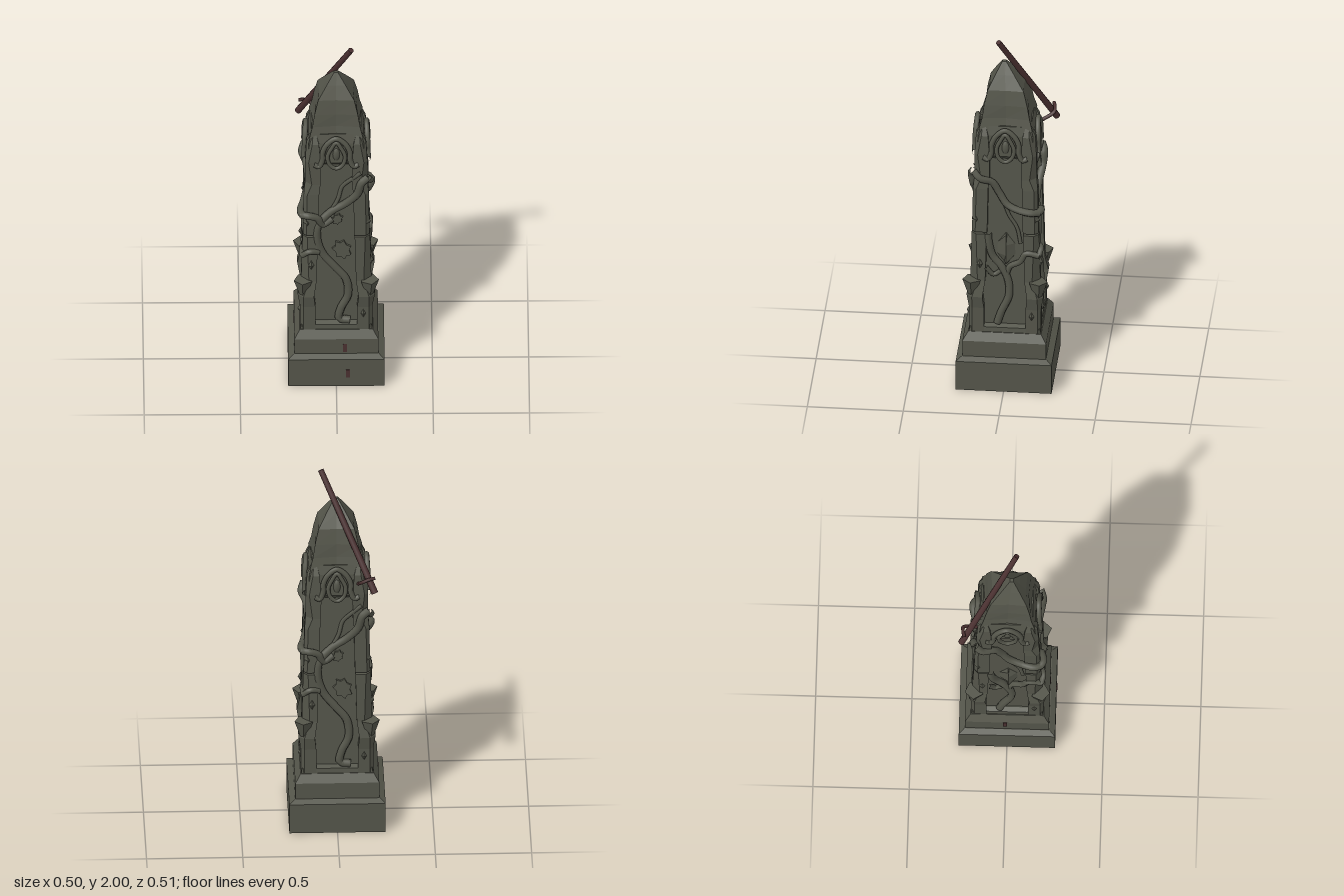
import * as THREE from 'three';

const stone = new THREE.MeshStandardMaterial({ color: 0x54554a });
stone.name = 'mossy grey stone';
const wood = new THREE.MeshStandardMaterial({ color: 0x4a3030 });
wood.name = 'dark red brown';

const V = (x, y, z) => new THREE.Vector3(x, y, z);

function add(parent, name, geometry, material = stone) {
  const mesh = new THREE.Mesh(geometry, material);
  mesh.name = name;
  parent.add(mesh);
  return mesh;
}

// Flat-faced solid through rings of points, listed bottom to top
function loft(rings) {
  const pos = [];
  const tri = (...p) => p.forEach((v) => pos.push(v.x, v.y, v.z));
  const n = rings[0].length;
  const centre = (r) => r.reduce((s, p) => s.add(p), V(0, 0, 0)).divideScalar(n);
  const low = rings[0], high = rings[rings.length - 1];
  for (let i = 0; i < n; i++) {
    const j = (i + 1) % n;
    for (let k = 0; k < rings.length - 1; k++) {
      const a = rings[k], b = rings[k + 1];
      tri(a[i], a[j], b[j]);
      tri(a[i], b[j], b[i]);
    }
    tri(centre(low), low[j], low[i]);
    tri(centre(high), high[i], high[j]);
  }
  const g = new THREE.BufferGeometry();
  g.setAttribute('position', new THREE.Float32BufferAttribute(pos, 3));
  g.computeVertexNormals();
  return g;
}

// Square ring; mid below 1 pulls the middle of each side inwards
const square = (y, h, mid = 1, dz = 0) => {
  const m = h * mid;
  return [[-h, h], [0, m], [h, h], [m, 0], [h, -h], [0, -m], [-h, -h], [-m, 0]]
    .map(([x, z]) => V(x, y, z + dz));
};

// Pillar half width at a height, measured to the faces of the corner posts
const half = (y) => 0.188 - 0.03 * (y - 0.32) / 1.18;

// Cross-section of one corner post
const postRing = (y, grow = 0, w = 0.08, c = 0.018) => {
  const h = half(y) + grow;
  return [[h - w, h], [h - c, h], [h, h - c], [h, h - w], [h - w, h - w]]
    .map(([x, z]) => V(x, y, z));
};

// Point on a face: u across, y up, lift measured from the post surface
const onFace = ([u, y, lift = -0.02]) => V(u, y, half(y) + lift);

function tube(points, radius, closed = false, sides = 8) {
  const curve = new THREE.CatmullRomCurve3(points, closed);
  return new THREE.TubeGeometry(curve, points.length * 5, radius, sides, closed);
}

function vine(parent, points, radius) {
  add(parent, 'vine', tube(points.map(onFace), radius));
}

function leaf(parent, u, y, size, turn) {
  const s = new THREE.Shape();
  for (let i = 0; i < 14; i++) {
    const a = (i / 14) * Math.PI * 2;
    const r = size * (i % 2 ? 0.72 : 1);
    s[i ? 'lineTo' : 'moveTo'](Math.cos(a) * r * 0.8, Math.sin(a) * r);
  }
  const g = new THREE.ExtrudeGeometry(s, { depth: 0.02, bevelEnabled: false });
  const m = add(parent, 'leaf', g);
  m.position.copy(onFace([u, y, -0.04]));
  m.rotation.set(-0.03, 0, turn);
}

// Pointed hood and teardrop niche, shared by all four faces
function niche(face) {
  const hood = [[-0.115, 1.35, 0], [-0.09, 1.34, 0.004], [-0.072, 1.38, 0.004],
    [-0.07, 1.43, 0.004], [-0.045, 1.48, 0.002], [0, 1.51, 0]];
  const mirrored = hood.slice(0, -1).reverse().map(([u, y, d]) => [-u, y, d]);
  add(face, 'nicheHood', tube([...hood, ...mirrored].map(onFace), 0.014));
  const drop = [[0, 1.325, 0], [0.035, 1.35, 0], [0.045, 1.4, 0],
    [0.025, 1.45, 0], [0, 1.485, 0], [-0.025, 1.45, 0], [-0.045, 1.4, 0], [-0.035, 1.35, 0]];
  add(face, 'nicheRing', tube(drop.map(onFace), 0.011, true));
  const bud = add(face, 'nicheBud', new THREE.SphereGeometry(1, 10, 8));
  bud.scale.set(0.022, 0.045, 0.02);
  bud.position.copy(onFace([0, 1.4, -0.025]));
}

// Face with one long winding vine
function windingFace(face) {
  vine(face, [[0.07, 0.365], [0.015, 0.375], [0.025, 0.44], [0.06, 0.52], [0.05, 0.62],
    [-0.01, 0.7], [-0.07, 0.78], [-0.1, 0.88, -0.012], [-0.09, 0.97, -0.01], [-0.03, 1.04],
    [0.05, 1.1, -0.012], [0.11, 1.17, 0.005], [0.13, 1.24, 0.012], [0.165, 1.265, -0.002]], 0.021);
  vine(face, [[-0.18, 1.035, 0.002], [-0.15, 1.04, 0.017], [-0.1, 1.02, 0.008],
    [-0.07, 0.97, -0.01], [-0.02, 1.0]], 0.019);
  vine(face, [[-0.03, 1.04], [0.01, 1.12, -0.025], [0.03, 1.19, -0.03], [0.08, 1.25, -0.012],
    [0.13, 1.3, 0.002]], 0.011);
  vine(face, [[-0.18, 0.78, 0], [-0.14, 0.81, 0.01], [-0.09, 0.8, -0.005]], 0.015);
  leaf(face, 0.03, 0.8, 0.062, 0.4);
  leaf(face, 0.005, 0.99, 0.036, -0.5);
}

// Face with a forked vine around a bud and a second vine sweeping across
function forkedFace(face) {
  vine(face, [[-0.04, 0.365], [-0.02, 0.43], [0.02, 0.53], [0.015, 0.62], [-0.02, 0.7],
    [-0.065, 0.76], [-0.085, 0.84, -0.012], [-0.09, 0.9, -0.01]], 0.02);
  vine(face, [[0.005, 0.65], [0.025, 0.7], [0.08, 0.74, -0.005], [0.11, 0.79, 0],
    [0.18, 0.78, 0]], 0.016);
  vine(face, [[-0.015, 0.68], [-0.06, 0.65], [-0.1, 0.7, -0.005]], 0.013);
  vine(face, [[-0.165, 1.265, -0.002], [-0.13, 1.23, 0.012], [-0.07, 1.2, -0.01], [-0.03, 1.13],
    [0.01, 1.07, -0.012], [0.07, 1.045, 0.002], [0.14, 1.04, 0.017], [0.18, 1.035, 0.002]], 0.019);
  vine(face, [[-0.02, 1.12], [0.02, 1.0, -0.025], [0.06, 0.93, -0.025], [0.08, 0.84, -0.02]], 0.01);
  const bud = add(face, 'budLeaf', loft([[0.72, 0.012], [0.77, 0.05], [0.83, 0.048], [0.89, 0.004]]
    .map(([y, r]) => [[-r, 0], [0, 0.03], [r, 0], [0, -0.012]]
      .map(([u, d]) => onFace([u, y, -0.035 + d])))));
  bud.position.x = 0.005;
}

function buildCorner(corner) {
  // Weathered post in stacked stones with a crack between them
  add(corner, 'lowerPost', loft([postRing(0.31, 0), postRing(0.46, 0.004), postRing(0.53, 0.018, 0.085, 0.03),
    postRing(0.62, 0.002, 0.08, 0.04), postRing(0.895, 0.002, 0.08, 0.025)]));
  add(corner, 'upperPost', loft([postRing(0.905, 0), postRing(1.16, 0.002),
    postRing(1.22, -0.003, 0.08, 0.035), postRing(1.36, 0), postRing(1.47, -0.004, 0.065, 0.03),
    postRing(1.515, -0.025, 0.03, 0.012)]));
  // Broken stone wedge near the foot
  const wedge = add(corner, 'stoneWedge', new THREE.ConeGeometry(0.05, 0.15, 5).toNonIndexed());
  wedge.geometry.computeVertexNormals();
  wedge.position.set(0.172, 0.55, 0.172);
  wedge.rotation.set(Math.PI, 0.4, 0);
  // Stone chips on the post edges
  [[0.165, 0.72, 0.13, 0.035], [0.14, 0.42, 0.172, 0.035], [0.158, 0.98, 0.15, 0.026]].forEach(([x, y, z, r]) => {
    const chip = add(corner, 'stoneChip', new THREE.OctahedronGeometry(r));
    chip.position.set(x, y, z);
    chip.scale.set(0.85, 1.6, 0.85);
  });
}

export function createModel() {
  const model = new THREE.Group();
  model.name = 'obelisk';

  // Stepped base
  add(model, 'lowerBase', loft([square(0, 0.25), square(0.168, 0.25), square(0.185, 0.222)]));
  add(model, 'upperBase', loft([square(0.18, 0.218), square(0.275, 0.218), square(0.318, 0.19)]));

  // Recessed shaft and the band that carries the niches
  add(model, 'shaft', loft([square(0.31, half(0.31) - 0.033), square(1.5, half(1.5) - 0.033)]));
  add(model, 'panelSill', loft([square(0.315, 0.186), square(0.345, 0.183), square(0.355, 0.16)]));
  add(model, 'nicheBand', loft([square(1.33, 0.13), square(1.35, 0.148), square(1.47, 0.143), square(1.52, 0.13)]));

  // Pointed cap with hollowed sides
  add(model, 'cap', loft([[1.5, 0.14, 0.9, 0], [1.56, 0.124, 0.9, 0], [1.63, 0.113, 0.93, 0.002],
    [1.71, 0.094, 0.94, 0.004], [1.78, 0.05, 0.95, 0.012], [1.84, 0.01, 1, 0.018]]
    .map((r) => square(...r))));

  // Four faces and four corners around the pillar
  for (let i = 0; i < 4; i++) {
    const face = new THREE.Group();
    face.name = ['frontFace', 'leftFace', 'backFace', 'rightFace'][i];
    niche(face);
    (i % 2 ? forkedFace : windingFace)(face);
    const corner = new THREE.Group();
    corner.name = 'corner';
    buildCorner(corner);
    face.rotation.y = corner.rotation.y = i * Math.PI / 2;
    model.add(face, corner);
  }

  // Slanted stake resting on the cap, with its hook
  const top = V(0.078, 1.992, 0.042), foot = V(-0.195, 1.41, -0.238);
  const stake = add(model, 'stake', new THREE.CylinderGeometry(0.015, 0.018, top.distanceTo(foot), 8), wood);
  stake.position.copy(top).add(foot).multiplyScalar(0.5);
  stake.quaternion.setFromUnitVectors(V(0, 1, 0), top.clone().sub(foot).normalize());
  const hook = [V(-0.195, 1.49, -0.222), V(-0.16, 1.485, -0.23), V(-0.13, 1.47, -0.228), V(-0.11, 1.42, -0.15)];
  add(model, 'stakeHook', tube(hook, 0.01, false, 6), wood);

  // Small reddish stains on the base
  [[0.045, 0.22, 0.219, 0], [0.06, 0.08, 0.251, 0], [-0.219, 0.25, -0.01, Math.PI / 2]].forEach(([x, y, z, turn]) => {
    const stain = add(model, 'stain', new THREE.BoxGeometry(0.02, 0.05, 0.004), wood);
    stain.position.set(x, y, z);
    stain.rotation.y = turn;
  });
  return model;
}
